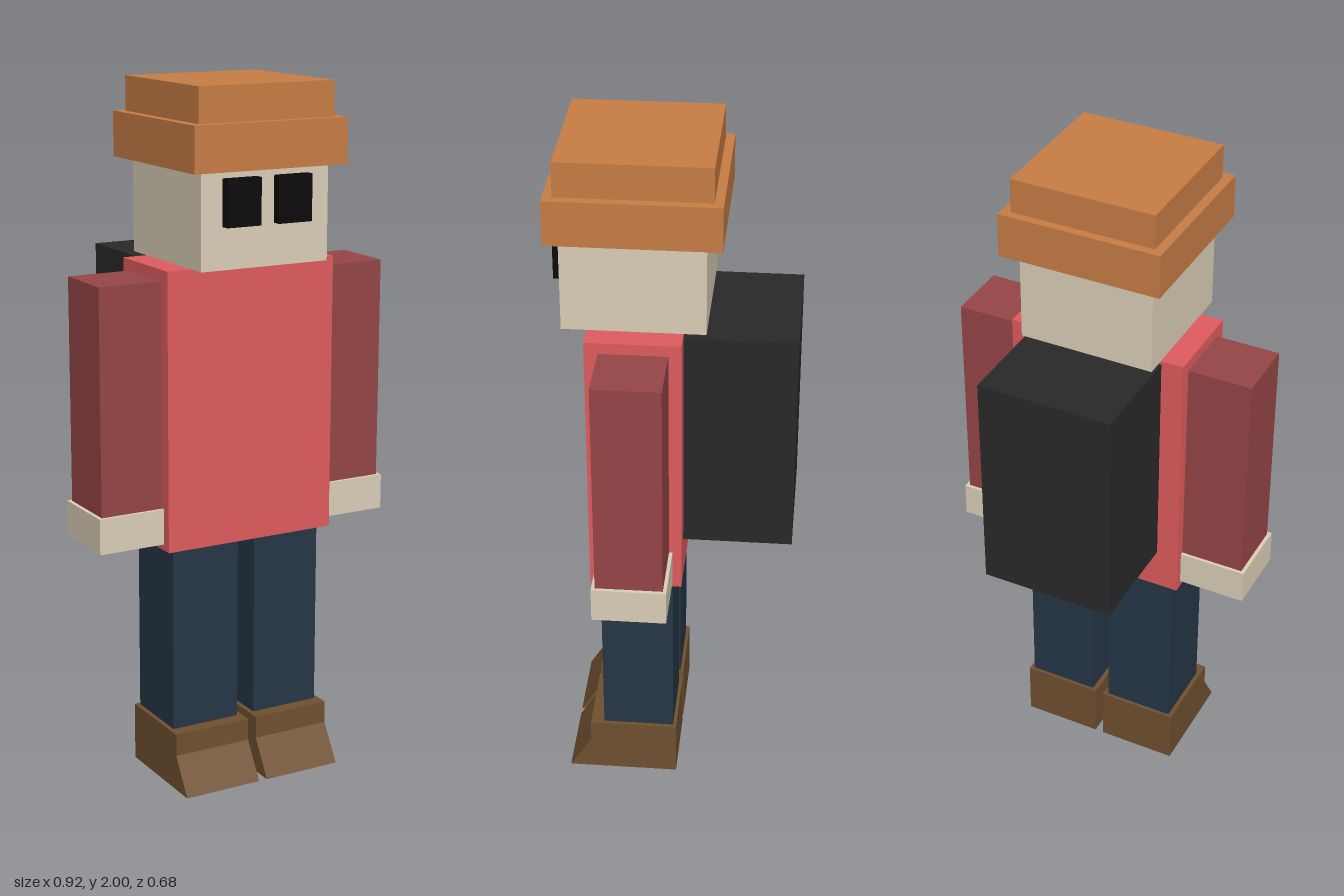
import * as THREE from 'three';

const mat = (color) => new THREE.MeshStandardMaterial({ color, flatShading: true });
const skin = mat(0xdccfb8), shirt = mat(0xe05c5f), sleeve = mat(0x964547), denim = mat(0x263646);
const leather = mat(0x705030), wool = mat(0xc87d45), black = mat(0x0a0a0a), canvas = mat(0x292929);

// Box given by its extents on each axis
function box(name, material, [x0, x1], [y0, y1], [z0, z1]) {
  const mesh = new THREE.Mesh(new THREE.BoxGeometry(x1 - x0, y1 - y0, z1 - z0), material);
  mesh.position.set((x0 + x1) / 2, (y0 + y1) / 2, (z0 + z1) / 2);
  mesh.name = name;
  return mesh;
}

// Shoe: side profile with a sloping toe, extruded across its width
function shoe(name, x0, x1) {
  const profile = new THREE.Shape([
    [-0.247, 0.17], [-0.247, 0.105], [-0.312, 0], [0.013, 0], [0.013, 0.17],
  ].map(([z, y]) => new THREE.Vector2(z, y)));
  const geometry = new THREE.ExtrudeGeometry(profile, { depth: x1 - x0, bevelEnabled: false });
  geometry.rotateY(Math.PI / 2); // profile x becomes -z, depth becomes +x
  const mesh = new THREE.Mesh(geometry, leather);
  mesh.position.x = x0;
  mesh.name = name;
  return mesh;
}

export function createModel() {
  const model = new THREE.Group();
  model.name = 'blockFigure';

  // Body, head, hat and backpack
  model.add(
    box('torso', shirt, [-0.263, 0.263], [0.712, 1.505], [-0.03, 0.233]),
    box('head', skin, [-0.198, 0.198], [1.508, 1.79], [-0.092, 0.302]),
    box('hatBrim', wool, [-0.237, 0.237], [1.775, 1.902], [-0.136, 0.338]),
    box('hatCrown', wool, [-0.21, 0.21], [1.902, 2], [-0.111, 0.311]),
    box('backpack', canvas, [-0.198, 0.198], [0.835, 1.495], [-0.341, -0.03]),
  );

  // Paired parts
  for (const [side, s] of [['left', 1], ['right', -1]]) {
    const span = (a, b) => (s > 0 ? [a, b] : [-b, -a]);
    model.add(
      box(side + 'Eye', black, span(0.027, 0.132), [1.625, 1.755], [0.302, 0.328]),
      box(side + 'Arm', sleeve, span(0.26, 0.45), [0.832, 1.473], [0.005, 0.195]),
      box(side + 'Hand', skin, span(0.255, 0.461), [0.73, 0.832], [-0.005, 0.205]),
      box(side + 'Leg', denim, span(0.027, 0.237), [0.17, 0.712], [-0.003, 0.207]),
      shoe(side + 'Shoe', ...span(0.013, 0.25)),
    );
  }
  return model;
}
